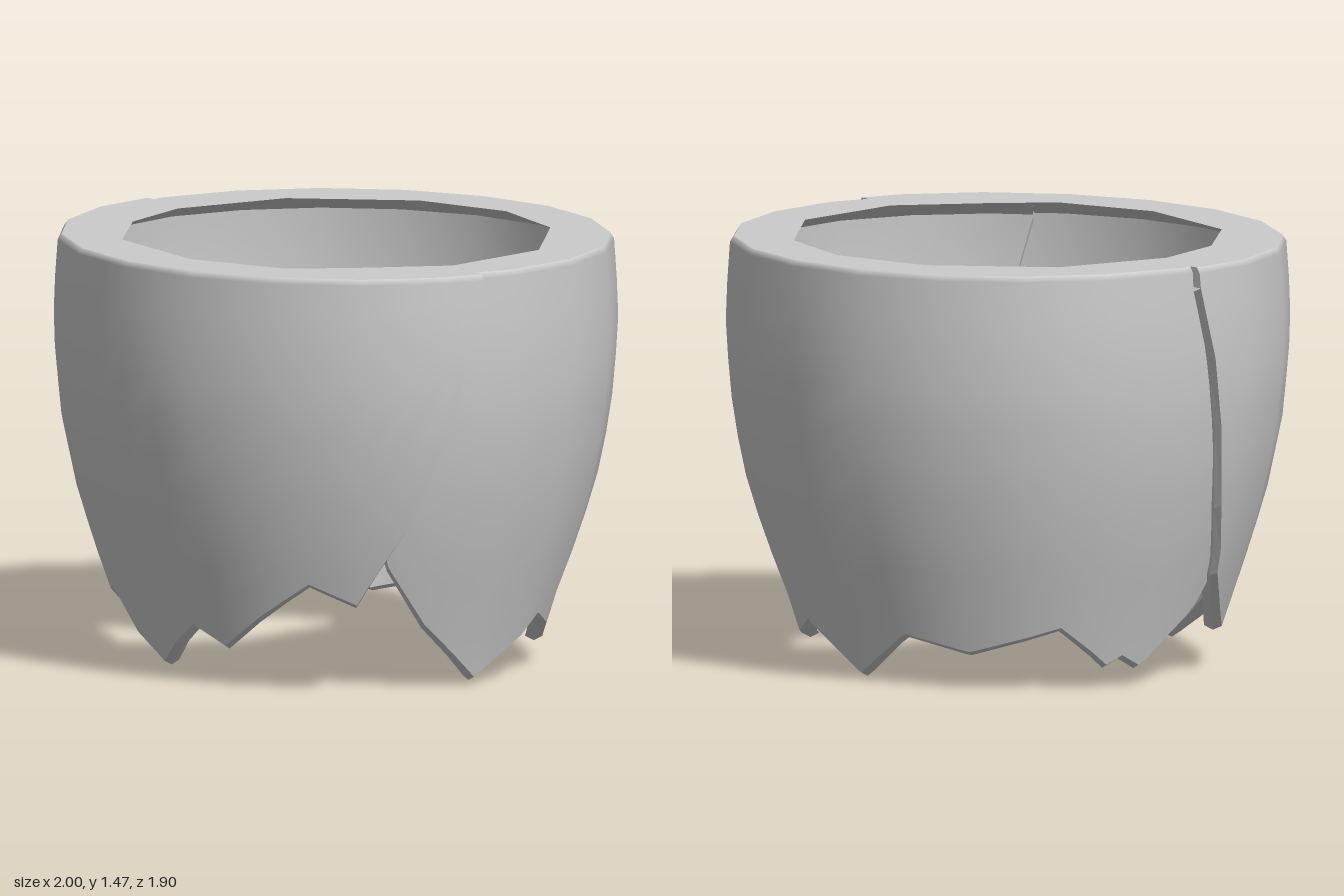
import * as THREE from 'three';
import { mergeGeometries } from 'three/addons/utils/BufferGeometryUtils.js';

const RAD = Math.PI / 180;
const TOP = 1.47, LIP = 1.41;

// wall profiles as [height, radius]
const OUTER = [[0, 0.75], [0.2, 0.8], [0.4, 0.865], [0.6, 0.918], [0.85, 0.972], [1.15, 1], [1.4, 0.99], [1.45, 0.984], [1.47, 0.97]];
const INNER = [[0, 0.685], [0.2, 0.735], [0.4, 0.8], [0.6, 0.853], [0.85, 0.907], [1.15, 0.935], [1.41, 0.92]];

// corners of the waist opening as [angle, radius]
const WAIST = [[-180, 0.74], [-151, 0.74], [-115, 0.755], [-82, 0.755], [-58, 0.745], [-29, 0.75], [8, 0.735],
  [37.5, 0.755], [56, 0.72], [82, 0.775], [115, 0.77], [151, 0.74], [180, 0.74]];

// hems as [angle, height]; angle 0 is the front, 90 the left side
const FRONT_HEM = [[-87, 1.4], [-83, 1.15], [-79.5, 0.9], [-75.5, 0.62], [-70, 0.37], [-54, 0.15], [-33, 0.25], [-8, 0.04],
  [7.7, 0.2], [17.5, 0.14], [28, 0.25], [42, 0.39], [53, 0.32], [64.5, 0.6], [72.5, 0.9], [77, 1.2], [81, 1.4]];
const BACK_HEM = [[44, 1.4], [55, 0.82], [62, 0.44], [72, 0.23], [90, 0.025], [117, 0.21], [140, 0.08], [160, 0.17], [181, 0.015],
  [200, 0.18], [218, 0.13], [243, 0.22], [257, 0.08], [262, 0.11], [268, 0.07], [285, 0.22], [304, 0.55], [318, 1.4]];

function lerpTable(table, t) {
  let i = 1;
  while (i < table.length - 1 && table[i][0] < t) i++;
  const [a, b] = [table[i - 1], table[i]];
  const k = THREE.MathUtils.clamp((t - a[0]) / (b[0] - a[0]), 0, 1);
  return a[1] + (b[1] - a[1]) * k;
}

// radius factor that turns a circle into a 20-sided polygon
function facet(deg) {
  const local = ((deg % 18) + 18) % 18 - 9;
  return Math.cos(9 * RAD) / Math.cos(local * RAD);
}

// radius of the waist opening along its straight sides
function waistRadius(deg) {
  const a = deg >= 180 ? deg - 360 : deg;
  const i = WAIST.findIndex(c => c[0] > a);
  const [[a1, r1], [a2, r2]] = [WAIST[i - 1], WAIST[i]];
  return r1 * r2 * Math.sin((a2 - a1) * RAD) / (r1 * Math.sin((a - a1) * RAD) + r2 * Math.sin((a2 - a) * RAD));
}

// surface through columns of points, flat unless normals are given
function grid(columns, normalAt) {
  const rows = columns[0].length, pos = [], nor = [], index = [];
  columns.forEach((col, j) => col.forEach((p, i) => {
    pos.push(p.x, p.y, p.z);
    if (normalAt) nor.push(...normalAt(j, p).toArray());
    if (j < columns.length - 1 && i < rows - 1) {
      const a = j * rows + i, b = a + rows;
      index.push(a, b, b + 1, a, b + 1, a + 1);
    }
  }));
  const g = new THREE.BufferGeometry();
  g.setAttribute('position', new THREE.Float32BufferAttribute(pos, 3));
  if (normalAt) g.setAttribute('normal', new THREE.Float32BufferAttribute(nor, 3));
  g.setIndex(index);
  const result = g.toNonIndexed();
  if (!normalAt) result.computeVertexNormals();
  return result;
}

// one wrapped panel with a jagged lower edge; tuck pulls its front ends inward,
// flare pushes its lower left side outward
function panel(name, hem, { sx, szLow, tuck, flare }) {
  const first = hem[0][0], last = hem[hem.length - 1][0];
  const angles = hem.map(h => h[0]);
  const add = a => { if (a > first && a < last && !angles.includes(a)) angles.push(a); };
  for (let a = -180; a < 360; a += 18) add(a);
  WAIST.forEach(([a]) => { add(a); add(a + 360); });
  angles.sort((a, b) => a - b);

  const depth = y => THREE.MathUtils.lerp(szLow, 0.95, Math.min(1, y / 0.6));
  const wall = (profile, a, y) => {
    const s = Math.sin(a * RAD), c = Math.cos(a * RAD);
    const shift = 1 - tuck * Math.max(0, c) + flare * Math.max(0, s) ** 2 * Math.max(0, 1 - y);
    const r = lerpTable(profile, y) * facet(a) * shift;
    return new THREE.Vector3(s * r * sx, y, c * r * depth(y));
  };
  const column = (profile, a, high) => {
    const low = lerpTable(hem, a), points = [];
    for (let i = 0; i <= 10; i++) points.push(wall(profile, a, low + (high - low) * i / 10));
    return points;
  };
  const outer = angles.map(a => [...column(OUTER, a, TOP - 0.02), wall(OUTER, a, TOP)]);
  const inner = angles.map(a => column(INNER, a, LIP));
  const waist = angles.map(a => {
    const r = waistRadius(a);
    return new THREE.Vector3(Math.sin(a * RAD) * r, TOP, Math.cos(a * RAD) * r);
  });

  // smooth normals from the profile slope, tilted up at the rounded rim
  const smooth = (profile, sign) => (j, p) => {
    const a = angles[j] * RAD, y0 = Math.max(0, p.y - 0.2), y1 = Math.min(LIP, p.y + 0.2);
    const slope = (lerpTable(profile, y1) - lerpTable(profile, y0)) / (y1 - y0);
    const up = p.y === TOP ? 1.5 : -slope;
    return new THREE.Vector3(Math.sin(a) / sx, up, Math.cos(a) / depth(p.y)).normalize().multiplyScalar(sign);
  };
  const hemColumn = (_, j) => {
    const [a, b] = [inner[j][0], outer[j][0]];
    const middle = a.clone().lerp(b, 0.5);
    middle.y -= 0.015;
    return [a, middle, b];
  };

  const e = angles.length - 1;
  const inside = inner.map((c, j) => [...c, waist[j]]);
  const geometry = mergeGeometries([
    grid(outer, smooth(OUTER, 1)),
    grid(inner.map(c => [...c].reverse()), smooth(INNER, -1)),
    grid(angles.map(hemColumn)),                              // hem
    grid(outer.map((c, j) => [c[c.length - 1], waist[j]])),   // rim
    grid(inner.map((c, j) => [waist[j], c[c.length - 1]])),   // underside of the rim
    grid([inside[0], outer[0]]),                              // end caps
    grid([outer[e], inside[e]]),
  ]);
  const mesh = new THREE.Mesh(geometry, new THREE.MeshStandardMaterial({ color: 0xcccccc }));
  mesh.name = name;
  return mesh;
}

export function createModel() {
  const group = new THREE.Group();
  group.name = 'wrappedSkirt';
  group.add(panel('frontPanel', FRONT_HEM, { sx: 1.025, szLow: 0.905, tuck: 0, flare: 0.1 }));
  group.add(panel('backPanel', BACK_HEM, { sx: 0.99, szLow: 0.86, tuck: 0.04, flare: 0 }));
  return group;
}
